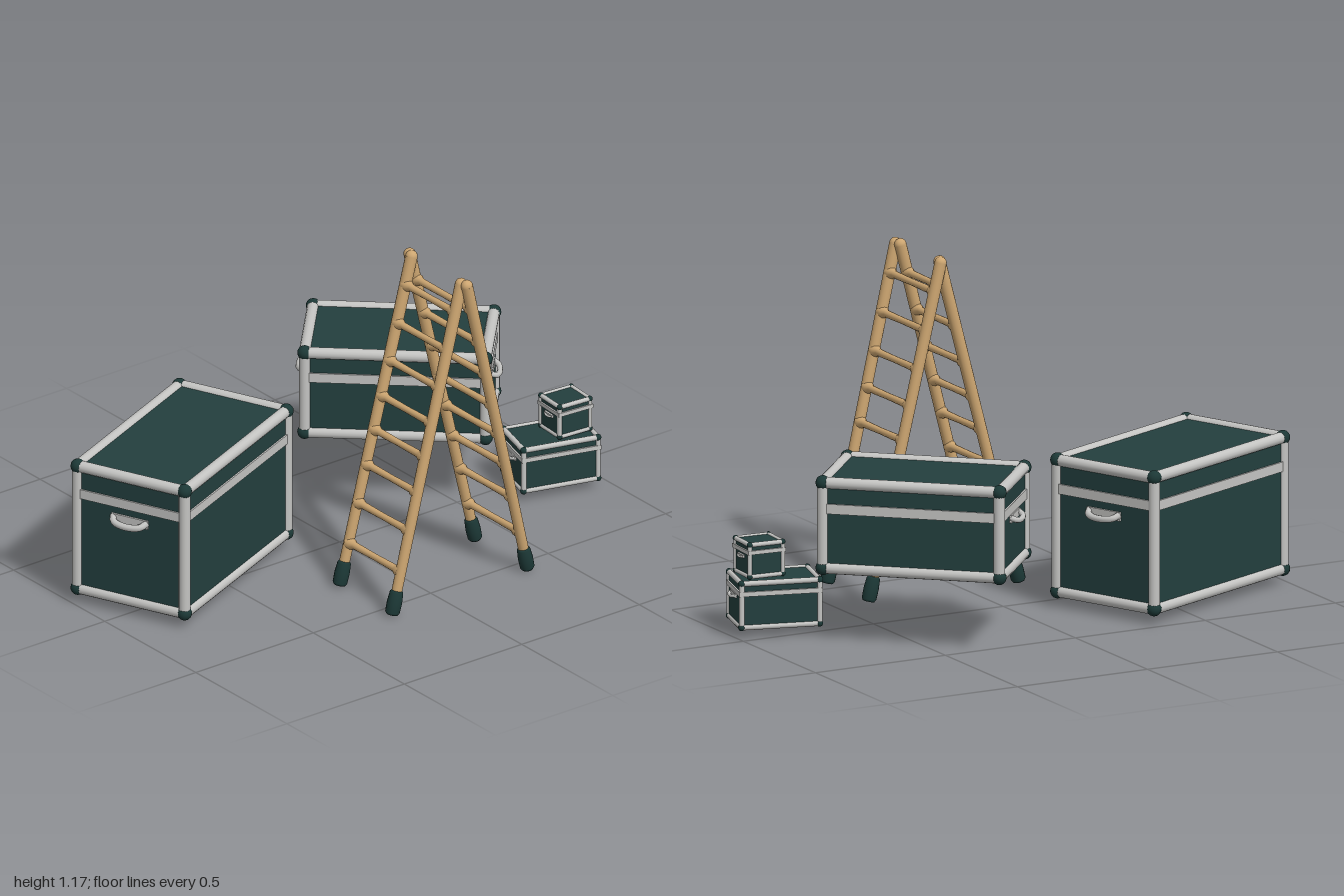
import * as THREE from 'three';

const mat = (name, color) => {
  const m = new THREE.MeshStandardMaterial({ color });
  m.name = name;
  return m;
};

export function createModel() {
  const panelGreen = mat('panel green', 0x233f3e);
  const trimGrey = mat('trim grey', 0xc4c4c2);
  const capGreen = mat('cap green', 0x1c3836);
  const wood = mat('wood', 0xcda671);

  const root = new THREE.Group();
  root.name = 'laddersAndTrunks';
  const V = (x, y, z) => new THREE.Vector3(x, y, z);

  function add(parent, name, geometry, material, pos) {
    const mesh = new THREE.Mesh(geometry, material);
    mesh.name = name;
    if (pos) mesh.position.copy(pos);
    parent.add(mesh);
    return mesh;
  }

  // Places a geometry built along +y (centred) between two points
  function along(parent, name, geometry, material, a, b) {
    const mesh = add(parent, name, geometry, material, a.clone().lerp(b, 0.5));
    mesh.quaternion.setFromUnitVectors(V(0, 1, 0), b.clone().sub(a).normalize());
    return mesh;
  }

  const rod = (parent, name, material, a, b, r) =>
    along(parent, name, new THREE.CylinderGeometry(r, r, a.distanceTo(b), 14), material, a, b);

  // Bow-shaped grip on a thin backing plate, facing +x
  function handle(parent, x, y, s, side) {
    const g = new THREE.Group();
    g.name = 'handle';
    g.position.set(x * side, y, 0);
    if (side < 0) g.rotation.y = Math.PI;
    parent.add(g);
    add(g, 'handlePlate', new THREE.BoxGeometry(0.009, 0.22 * s, s), trimGrey, V(0.003, 0.04 * s, 0));
    const bow = new THREE.CatmullRomCurve3([
      V(0, 0.08 * s, -0.46 * s), V(0.16 * s, 0, -0.36 * s), V(0.23 * s, -0.04 * s, 0),
      V(0.16 * s, 0, 0.36 * s), V(0, 0.08 * s, 0.46 * s)]);
    add(g, 'handleGrip', new THREE.TubeGeometry(bow, 16, 0.085 * s, 8), trimGrey);
  }

  // Trunk: length and width run between the corner centres, y0..y1 is the outer height
  function trunk(name, { x, z, turn, length, width, y0, y1, band, r, grip, gripY }) {
    const g = new THREE.Group();
    g.name = name;
    g.position.set(x, 0, z);
    g.rotation.y = THREE.MathUtils.degToRad(turn);
    root.add(g);
    const hx = length / 2, hz = width / 2, cap = r * 1.25;
    const lo = y0 + cap, hi = y1 - cap, mid = (lo + hi) / 2, skin = r * 0.7;

    add(g, 'body', new THREE.BoxGeometry(length + skin, hi - lo + skin, width + skin), panelGreen, V(0, mid, 0));

    // Raised belt between body and lid
    const belt = skin + 0.012;
    add(g, 'lidBelt', new THREE.BoxGeometry(length + belt, r * 1.7, width + belt), trimGrey, V(0, band, 0));

    // Edge rails and corner caps
    for (const sx of [-1, 1]) {
      for (const sz of [-1, 1]) {
        rod(g, 'uprightTrim', trimGrey, V(sx * hx, lo, sz * hz), V(sx * hx, hi, sz * hz), r);
        for (const y of [lo, hi])
          add(g, 'cornerCap', new THREE.SphereGeometry(cap, 14, 10), capGreen, V(sx * hx, y, sz * hz));
      }
      for (const y of [lo, hi]) {
        rod(g, 'longTrim', trimGrey, V(-hx, y, sx * hz), V(hx, y, sx * hz), r);
        rod(g, 'shortTrim', trimGrey, V(sx * hx, y, -hz), V(sx * hx, y, hz), r);
      }
      handle(g, hx + skin / 2, gripY, grip, sx);
    }
  }

  trunk('largeTrunk', { x: -0.57, z: -0.13, turn: 23.4, length: 0.71, width: 0.41,
    y0: 0.03, y1: 0.535, band: 0.413, r: 0.02, grip: 0.14, gripY: 0.35 });
  trunk('mediumTrunk', { x: 0.44, z: -0.24, turn: -42.3, length: 0.61, width: 0.365,
    y0: 0.245, y1: 0.59, band: 0.477, r: 0.02, grip: 0.12, gripY: 0.438 });
  trunk('smallTrunk', { x: 0.835, z: 0.082, turn: -15.5, length: 0.27, width: 0.178,
    y0: 0.03, y1: 0.205, band: 0.158, r: 0.0095, grip: 0.07, gripY: 0.137 });
  trunk('tinyTrunk', { x: 0.885, z: 0.098, turn: -4, length: 0.122, width: 0.112,
    y0: 0.2, y1: 0.33, band: 0.294, r: 0.008, grip: 0.045, gripY: 0.272 });

  // One side of the stepladder: two rails with rubber feet and eight flared rungs
  const rungHeights = [0.155, 0.295, 0.428, 0.55, 0.667, 0.79, 0.92, 1.052];
  const footProfile = [[0, -0.043], [0.02, -0.043], [0.025, -0.035], [0.026, 0],
    [0.023, 0.036], [0.018, 0.043], [0, 0.043]].map(p => new THREE.Vector2(...p));

  function ladder(name, footX, topX, topZ) {
    const g = new THREE.Group();
    g.name = name;
    root.add(g);
    const rails = [0, 1].map(i => [V(footX, 0.04, [0.268, 0.556][i]), V(topX, 1.15, topZ[i])]);
    for (const [foot, top] of rails) {
      const len = foot.distanceTo(top);
      along(g, 'rail', new THREE.CylinderGeometry(0.021, 0.018, len, 16), wood, foot, top);
      add(g, 'railTip', new THREE.SphereGeometry(0.021, 16, 10), wood, top);
      const dir = top.clone().sub(foot).normalize();
      const c = foot.clone().addScaledVector(dir, 0.01);
      along(g, 'rubberFoot', new THREE.LatheGeometry(footProfile, 16), capGreen,
        c.clone().sub(dir), c.clone().add(dir));
    }
    for (const y of rungHeights) {
      const [a, b] = rails.map(([f, t]) => f.clone().lerp(t, (y - 0.04) / 1.11));
      const h = a.distanceTo(b) / 2;
      const profile = [[0.022, -h], [0.02, -h + 0.018], [0.013, -h + 0.034], [0.0115, 0],
        [0.013, h - 0.034], [0.02, h - 0.018], [0.022, h]].map(p => new THREE.Vector2(...p));
      along(g, 'rung', new THREE.LatheGeometry(profile, 12), wood, a, b);
    }
  }

  ladder('rightLadder', -0.2, 0.092, [0.276, 0.548]);
  ladder('leftLadder', 0.362, 0.098, [0.258, 0.572]);

  return root;
}
